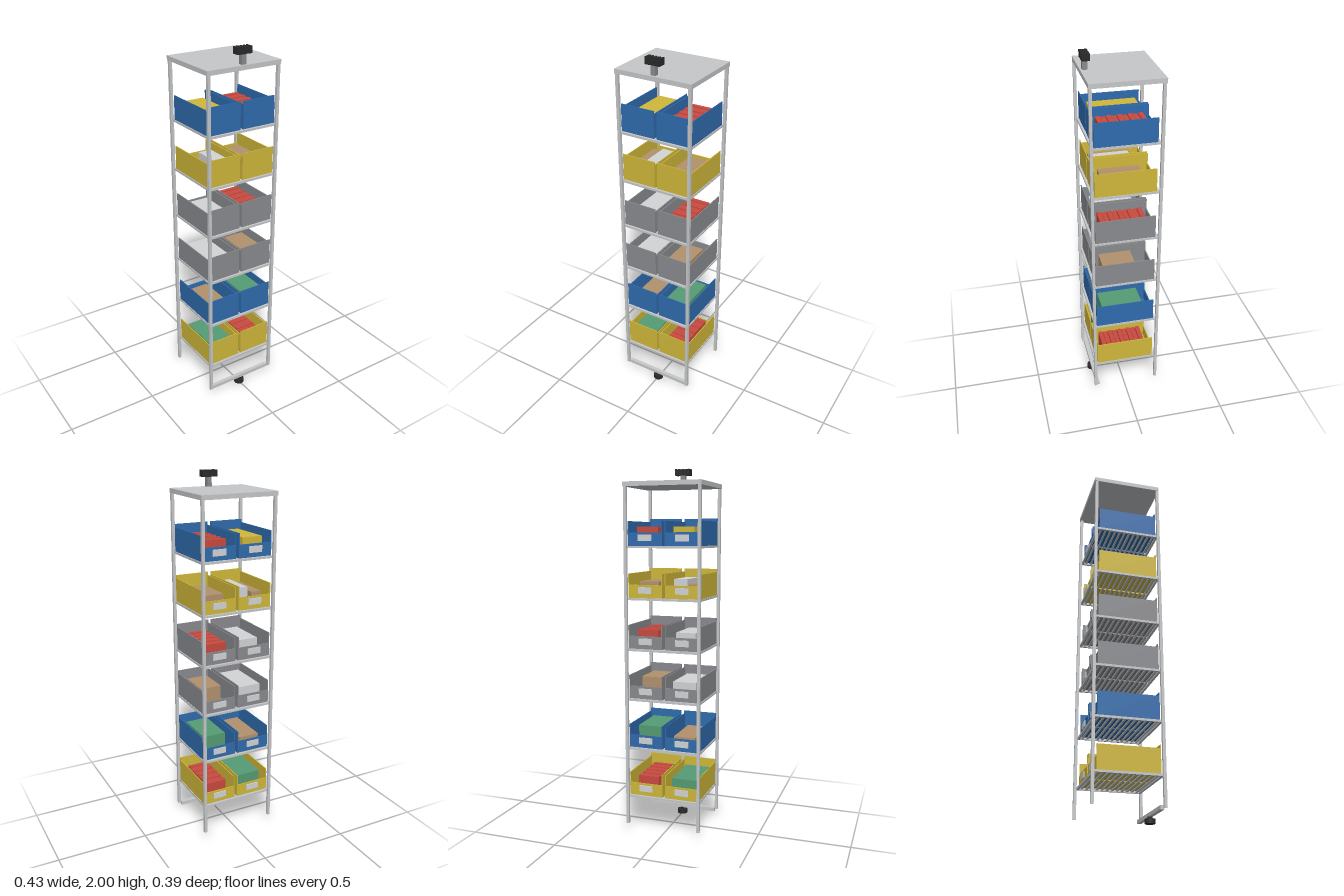
import * as THREE from 'three';

const mat = (name, color) => {
  const m = new THREE.MeshStandardMaterial({ color });
  m.name = name;
  return m;
};

export function createModel() {
  const M = {
    steel: mat('light steel', 0xc6c8ca),
    blue: mat('blue plastic', 0x2f6cae),
    yellow: mat('yellow plastic', 0xd0b83a),
    gray: mat('gray plastic', 0x8a8b8f),
    black: mat('black rubber', 0x2a2a2b),
    red: mat('red goods', 0xc94a40),
    tan: mat('cardboard', 0xb3926d),
    green: mat('green goods', 0x559c74),
    white: mat('white goods', 0xd2d4d7),
  };
  const root = new THREE.Group();
  root.name = 'storageRack';

  // box given by its min and max corners
  const box = (parent, name, m, x0, x1, y0, y1, z0, z1) => {
    const mesh = new THREE.Mesh(new THREE.BoxGeometry(x1 - x0, y1 - y0, z1 - z0), m);
    mesh.position.set((x0 + x1) / 2, (y0 + y1) / 2, (z0 + z1) / 2);
    mesh.name = name;
    parent.add(mesh);
    return mesh;
  };
  const cylinder = (parent, name, m, r, y0, y1, z, sides) => {
    const mesh = new THREE.Mesh(new THREE.CylinderGeometry(r, r, y1 - y0, sides), m);
    mesh.position.set(0, (y0 + y1) / 2, z);
    mesh.name = name;
    parent.add(mesh);
  };

  // frame: four posts, top plate, bottom front rail
  const frame = new THREE.Group();
  frame.name = 'frame';
  root.add(frame);
  for (const s of [-1, 1])
    for (const z of [-0.191, 0.171])
      box(frame, 'post', M.steel, s * 0.205 - 0.008, s * 0.205 + 0.008, 0.043, 1.892, z, z + 0.016);
  box(frame, 'topPlate', M.steel, -0.216, 0.216, 1.89, 1.914, -0.194, 0.188);
  box(frame, 'bottomRail', M.steel, -0.198, 0.198, 0.034, 0.054, 0.155, 0.176);

  // clamping knob on top
  const knob = new THREE.Group();
  knob.name = 'topKnob';
  root.add(knob);
  box(knob, 'stem', M.gray, -0.013, 0.013, 1.914, 1.967, 0.151, 0.177);
  box(knob, 'pad', M.black, -0.041, 0.041, 1.965, 1.994, 0.145, 0.183);
  for (let i = 0; i < 5; i++) {
    const x = -0.042 + i * 0.0185;
    box(knob, 'padRib', M.black, x, x + 0.01, 1.965, 2, 0.143, 0.184);
  }

  // adjustable foot below the rail
  const foot = new THREE.Group();
  foot.name = 'foot';
  root.add(foot);
  cylinder(foot, 'footPad', M.black, 0.028, 0, 0.024, 0.164, 16);
  cylinder(foot, 'footStem', M.black, 0.012, 0.02, 0.036, 0.164, 12);

  // open shelf: rim with slats running across
  function shelf(y) {
    const g = new THREE.Group();
    g.name = 'shelf';
    const y0 = -0.006, y1 = 0.006;
    for (const z of [-0.177, 0.165]) box(g, 'shelfRail', M.steel, -0.2, 0.2, y0, y1, z, z + 0.012);
    for (const x of [-0.204, 0.192]) box(g, 'shelfSide', M.steel, x, x + 0.012, y0, y1, -0.177, 0.177);
    for (let i = 0; i < 12; i++) {
      const z = -0.151 + i * 0.0275;
      box(g, 'slat', M.steel, -0.196, 0.196, -0.003, 0.004, z - 0.005, z + 0.005);
    }
    g.position.y = y;
    root.add(g);
  }

  // bin: tall closed end at +z, low lip with a label at -z
  function bin(y, side, m) {
    const g = new THREE.Group();
    g.name = 'bin';
    const w = 0.096, t = 0.005, zb = -0.162, zf = 0.165;
    box(g, 'binFloor', m, -w, w, 0, t, zb, zf);
    box(g, 'binEnd', m, -w, w, 0, 0.146, zf - t, zf);
    for (const s of [-1, 1])
      box(g, 'binSide', m, s * (w - t / 2) - t / 2, s * (w - t / 2) + t / 2, 0, 0.129, zb, zf - t);
    box(g, 'binLip', m, -w + t, w - t, 0, 0.07, zb, zb + t);
    box(g, 'label', M.white, -0.038, 0.038, 0.024, 0.058, zb - 0.006, zb);
    g.position.set(side * 0.104, y, 0);
    root.add(g);
    return g;
  }

  // goods: [material, x centre, width, height, z min, z max], local to the bin
  const carton = (c, x = 0, w = 0.12, h = 0.1, z0 = -0.12, z1 = 0.13) => [c, x, w, h, z0, z1];
  const rows = [
    ['yellow', [carton('green', 0, 0.14, 0.105)], [carton('red')]],
    ['blue', [carton('tan', 0, 0.12, 0.07)], [carton('green', 0, 0.13, 0.11, -0.1)]],
    ['gray', [carton('white', 0, 0.13, 0.1)], [carton('tan', 0, 0.12, 0.105, -0.06, 0.12)]],
    ['gray', [carton('white', 0, 0.11, 0.09, -0.1)], [carton('red')]],
    ['yellow', [carton('white', 0.035, 0.075, 0.1, -0.08, 0.12), carton('tan', -0.045, 0.06, 0.075, -0.1, 0.13)],
      [carton('tan', 0, 0.11, 0.085, -0.1, 0.12)]],
    ['blue', [carton('yellow', 0, 0.115, 0.1, -0.13, 0.13)], [carton('red')]],
  ];
  rows.forEach(([color, ...bins], i) => {
    const y = 0.2 + i * 0.2755;
    shelf(y);
    bins.forEach((goods, j) => {
      const g = bin(y + 0.006, j ? 1 : -1, M[color]);
      for (const [c, x, w, h, z0, z1] of goods) {
        if (c !== 'red') {
          box(g, 'carton', M[c], x - w / 2, x + w / 2, 0.005, h, z0, z1);
          continue;
        }
        // red goods are a row of upright packets
        const n = 9, step = (z1 - z0) / n;
        for (let k = 0; k < n; k++)
          box(g, 'packet', M.red, x - w / 2, x + w / 2, 0.005, h - (k % 2) * 0.004,
            z0 + k * step, z0 + (k + 0.9) * step);
      }
    });
  });
  return root;
}
